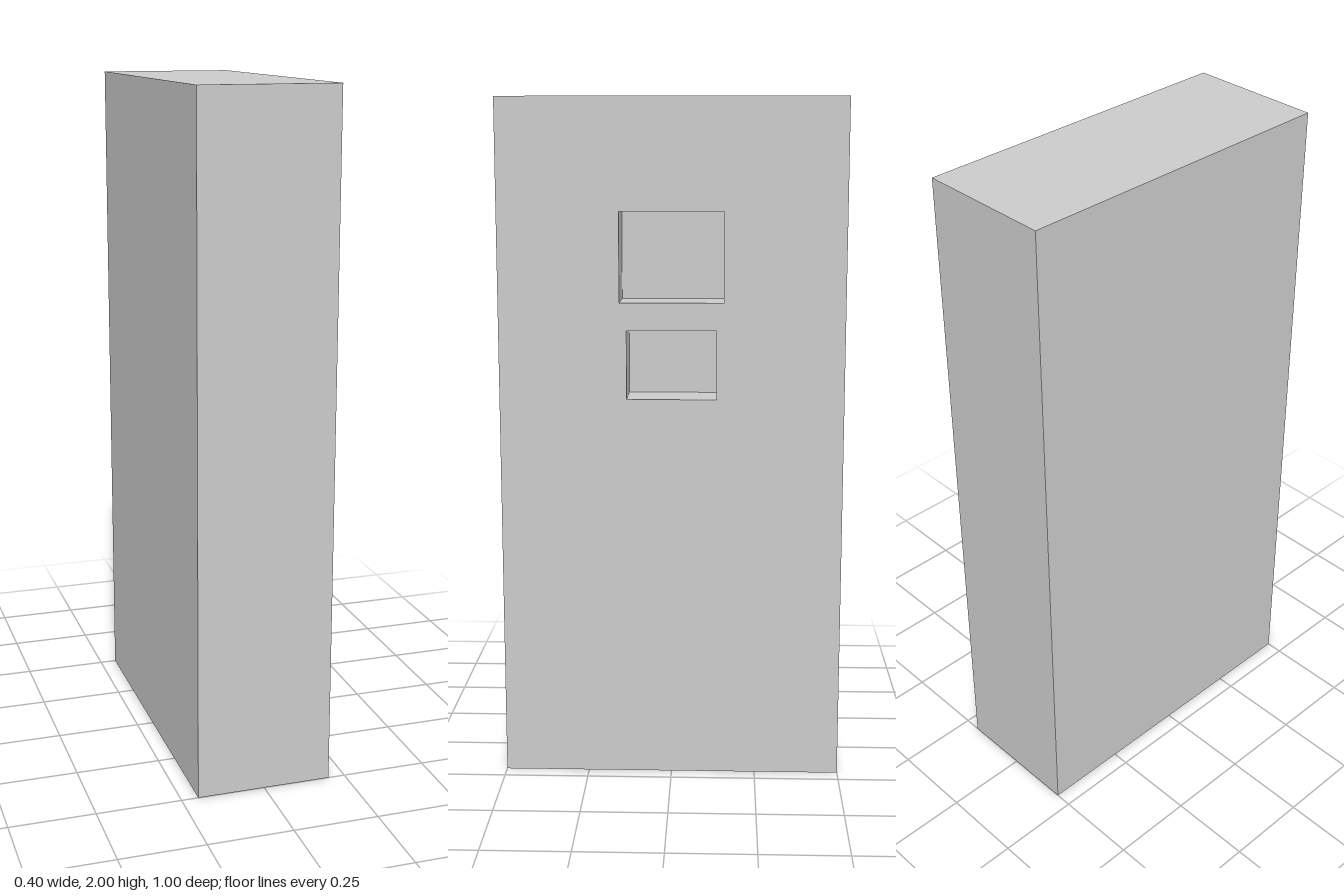
import * as THREE from 'three';

const W = 0.4, H = 2, D = 1, POCKET = 0.14;
// Rectangular recesses in the +x face
const RECESSES = [
  { name: 'upperRecess', width: 0.3, bottom: 1.42, top: 1.68 },
  { name: 'lowerRecess', width: 0.26, bottom: 1.14, top: 1.34 },
];

// Box without its +x face, optionally turned inside out
function openBox(w, h, d, inward = false) {
  const box = new THREE.BoxGeometry(w, h, d);
  const faces = Array.from(box.index.array).slice(6);
  box.setIndex(inward ? faces.reverse() : faces);
  box.clearGroups();
  const geometry = box.toNonIndexed();
  geometry.computeVertexNormals();
  return geometry;
}

function rectangle(path, halfWidth, bottom, top) {
  path.moveTo(-halfWidth, bottom);
  path.lineTo(halfWidth, bottom);
  path.lineTo(halfWidth, top);
  path.lineTo(-halfWidth, top);
  path.closePath();
  return path;
}

export function createModel() {
  const group = new THREE.Group();
  group.name = 'recessedSlab';
  const material = new THREE.MeshStandardMaterial({ color: 0xcccccc });
  const add = (name, geometry, x, y) => {
    const mesh = new THREE.Mesh(geometry, material);
    mesh.name = name;
    mesh.position.set(x, y, 0);
    group.add(mesh);
  };

  // Slab: every side except the recessed face
  add('slabBody', openBox(W, H, D), 0, H / 2);

  // Recessed face with an opening for each pocket
  const face = rectangle(new THREE.Shape(), D / 2, 0, H);
  for (const r of RECESSES) {
    face.holes.push(rectangle(new THREE.Path(), r.width / 2, r.bottom, r.top));
  }
  add('recessedFace', new THREE.ShapeGeometry(face).rotateY(Math.PI / 2), W / 2, 0);

  // Pocket walls and floors
  for (const r of RECESSES) {
    add(r.name, openBox(POCKET, r.top - r.bottom, r.width, true),
      W / 2 - POCKET / 2, (r.top + r.bottom) / 2);
  }
  return group;
}
